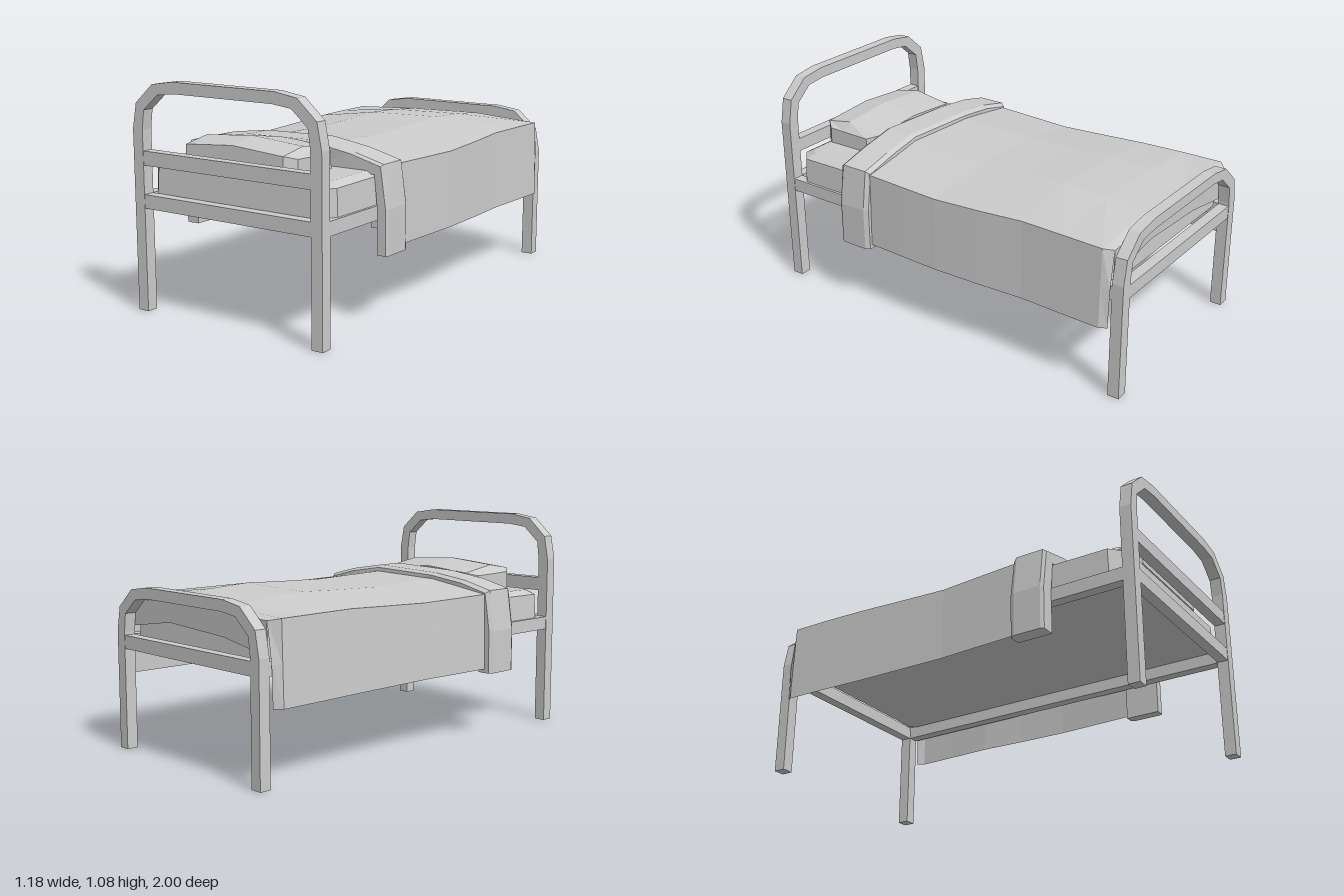
import * as THREE from 'three';

const material = new THREE.MeshStandardMaterial({ color: 0xcccccc, flatShading: true, side: THREE.DoubleSide });
const CX = 0.01; // middle of the frame

function add(parent, name, geometry) {
  const mesh = new THREE.Mesh(geometry, material);
  mesh.name = name;
  parent.add(mesh);
  return mesh;
}

function bar(parent, name, x0, x1, y0, y1, z0, z1) {
  add(parent, name, new THREE.BoxGeometry(x1 - x0, y1 - y0, z1 - z0))
    .position.set((x0 + x1) / 2, (y0 + y1) / 2, (z0 + z1) / 2);
}

// Skin a list of cross-sections; optionally close each section and cap both ends with a fan.
function loft(rows, closed = false, caps = false) {
  const pos = [];
  const n = rows[0].length;
  const tri = (a, b, c) => pos.push(...a, ...b, ...c);
  for (let i = 0; i < rows.length - 1; i++) {
    for (let j = 0; j < (closed ? n : n - 1); j++) {
      const k = (j + 1) % n;
      const [a, b, c, d] = [rows[i][j], rows[i][k], rows[i + 1][k], rows[i + 1][j]];
      tri(a, b, c);
      tri(a, c, d);
    }
  }
  if (caps) {
    const first = rows[0], last = rows[rows.length - 1];
    for (let j = 1; j < n - 1; j++) {
      tri(first[0], first[j + 1], first[j]);
      tri(last[0], last[j], last[j + 1]);
    }
  }
  const g = new THREE.BufferGeometry();
  g.setAttribute('position', new THREE.Float32BufferAttribute(pos, 3));
  g.computeVertexNormals();
  return g;
}

// Rectangle with cut corners, counter-clockwise from above; yAt gives the height at each corner.
function ring(x0, x1, z0, z1, cut, yAt) {
  return [
    [x0 + cut, z1], [x1 - cut, z1], [x1, z1 - cut], [x1, z0 + cut],
    [x1 - cut, z0], [x0 + cut, z0], [x0, z0 + cut], [x0, z1 - cut],
  ].map(([x, z]) => [x, yAt(x, z), z]);
}

// Legs and bent top rail in one piece, with the top lowered by drop
function archEnd(parent, name, z0, drop) {
  const outer = [[0.53, 0], [0.53, 0.855], [0.507, 0.975], [0.405, 1.065], [0.285, 1.083]];
  const inner = [[0.275, 1.03], [0.375, 1.018], [0.46, 0.945], [0.472, 0.855], [0.472, 0]];
  const lower = ([x, y]) => [x, y ? y - drop : 0];
  const flip = list => list.map(([x, y]) => [-x, y]).reverse();
  const out = outer.map(lower), inn = inner.map(lower);
  const points = [...out, ...flip(out), ...flip(inn), ...inn];
  const shape = new THREE.Shape(points.map(([x, y]) => new THREE.Vector2(x + CX, y)));
  const g = new THREE.ExtrudeGeometry(shape, { depth: 0.057, bevelEnabled: false });
  add(parent, name, g).position.z = z0;
}

function buildFrame() {
  const frame = new THREE.Group();
  frame.name = 'bedFrame';
  archEnd(frame, 'headArch', 0.943, 0);
  archEnd(frame, 'footArch', -1, 0.285);
  const l = CX - 0.475, r = CX + 0.475;
  bar(frame, 'headUpperRail', l, r, 0.69, 0.757, 0.945, 0.998);
  bar(frame, 'headLowerRail', l, r, 0.49, 0.555, 0.945, 0.998);
  bar(frame, 'footRail', l, r, 0.49, 0.555, -0.998, -0.945);
  for (const s of [-1, 1]) {
    const x = CX + s * 0.501;
    bar(frame, 'sideRail', x - 0.027, x + 0.027, 0.49, 0.555, -0.945, 0.945);
  }
  return frame;
}

function buildMattress() {
  const level = (y) => () => y;
  const top = (x, z) => 0.705 - 0.02 * Math.max(0, (z - 0.6) / 0.33);
  return loft([
    ring(-0.505, 0.525, -0.93, 0.94, 0.07, level(0.55)),
    ring(-0.5, 0.52, -0.925, 0.935, 0.07, (x, z) => top(x, z) - 0.01),
    ring(-0.46, 0.48, -0.89, 0.89, 0.05, (x, z) => top(x, z) + 0.012),
  ], true, true);
}

function buildPillow() {
  const crown = (x) => 0.022 * (1 - Math.abs(x) / 0.3);
  // Sections run from the left edge to the right edge: x, end inset, top drop
  const sections = [[-0.31, 0.05, 0.04], [-0.27, 0, 0], [0, 0, 0], [0.28, 0, 0], [0.322, 0.05, 0.04]];
  return loft(sections.map(([x, inset, drop]) => {
    const c = crown(x);
    return [
      [x, 0.695, 0.925 - inset], [x, 0.795 - drop * 0.3 + c, 0.922 - inset],
      [x, 0.82 - drop + c, 0.78], [x, 0.79 - drop * 0.3 + c, 0.585 + inset],
      [x, 0.695, 0.58 + inset],
    ];
  }), true, true);
}

// Sheet draped over the mattress, with hanging sides and a short drop at the foot
function buildBlanket() {
  // z, left edge, right edge, edge height, middle height
  const rows = [
    [0.45, -0.545, 0.55, 0.722, 0.78], [0.2, -0.535, 0.56, 0.718, 0.775],
    [0, -0.525, 0.567, 0.715, 0.77], [-0.25, -0.53, 0.56, 0.725, 0.778],
    [-0.48, -0.535, 0.548, 0.735, 0.788], [-0.7, -0.545, 0.555, 0.736, 0.778],
    [-0.9, -0.55, 0.56, 0.735, 0.76],
  ];
  const section = ([z, l, r, e, m]) => [
    [l - 0.01, 0.35, z], [l - 0.005, 0.54, z], [l, e, z],
    [-0.2, m - 0.008, z], [0.2, m, z],
    [r, e, z], [r + 0.005, 0.54, z], [r + 0.01, 0.35, z],
  ];
  const sections = rows.map(section);
  // Rounded foot edge
  sections.push([
    [-0.53, 0.35, -0.935], [-0.53, 0.54, -0.94], [-0.505, 0.725, -0.942],
    [-0.2, 0.735, -0.942], [0.2, 0.735, -0.942],
    [0.525, 0.725, -0.942], [0.55, 0.54, -0.94], [0.55, 0.35, -0.935],
  ]);
  return loft(sections);
}

function buildFootDrop() {
  const xs = [-0.505, -0.2, 0.2, 0.525];
  const tops = [0.725, 0.735, 0.735, 0.725];
  const bottoms = [0.57, 0.62, 0.64, 0.59];
  return loft([
    xs.map((x, i) => [x, tops[i], -0.942]),
    xs.map((x, i) => [x, bottoms[i], -0.938]),
  ]);
}

// Turned-back band near the pillow: thick, crowned strap with hanging ends
function buildFold() {
  const outer = [[-0.59, 0.33], [-0.59, 0.54], [-0.56, 0.74], [-0.4, 0.777], [-0.2, 0.802], [0.2, 0.812],
    [0.4, 0.779], [0.56, 0.738], [0.588, 0.54], [0.588, 0.33]];
  const inner = [[0.535, 0.33], [0.535, 0.54], [0.52, 0.69], [0.2, 0.7], [-0.2, 0.7], [-0.5, 0.69],
    [-0.515, 0.54], [-0.515, 0.33]];
  const section = (z, shrink) => [
    ...outer.map(([x, y]) => [x * (1 - shrink), y - (y > 0.6 ? shrink * 0.6 : 0), z + (y > 0.6 && Math.abs(x) < 0.3 ? x * 0.03 : 0)]),
    ...inner.map(([x, y]) => [x, y, z]),
  ];
  const rows = [section(0.41, 0.022), section(0.432, 0), section(0.57, 0), section(0.585, 0.015)];
  const g = loft(rows, true);
  // End faces bridge the outer and inner outlines
  const group = new THREE.Group();
  add(group, 'foldBand', g);
  for (const row of [rows[0], rows[3]]) {
    const out = row.slice(0, 10), inn = row.slice(10).reverse();
    const mate = [0, 1, 2, 3, 3, 4, 4, 5, 6, 7].map(i => inn[i]);
    add(group, 'foldEdge', loft([out, mate]));
  }
  return group;
}

export function createModel() {
  const bed = new THREE.Group();
  bed.name = 'bed';
  bed.add(buildFrame());
  add(bed, 'mattress', buildMattress());
  add(bed, 'pillow', buildPillow());
  add(bed, 'blanket', buildBlanket());
  add(bed, 'blanketFootDrop', buildFootDrop());
  const fold = buildFold();
  fold.name = 'blanketFold';
  bed.add(fold);
  return bed;
}
